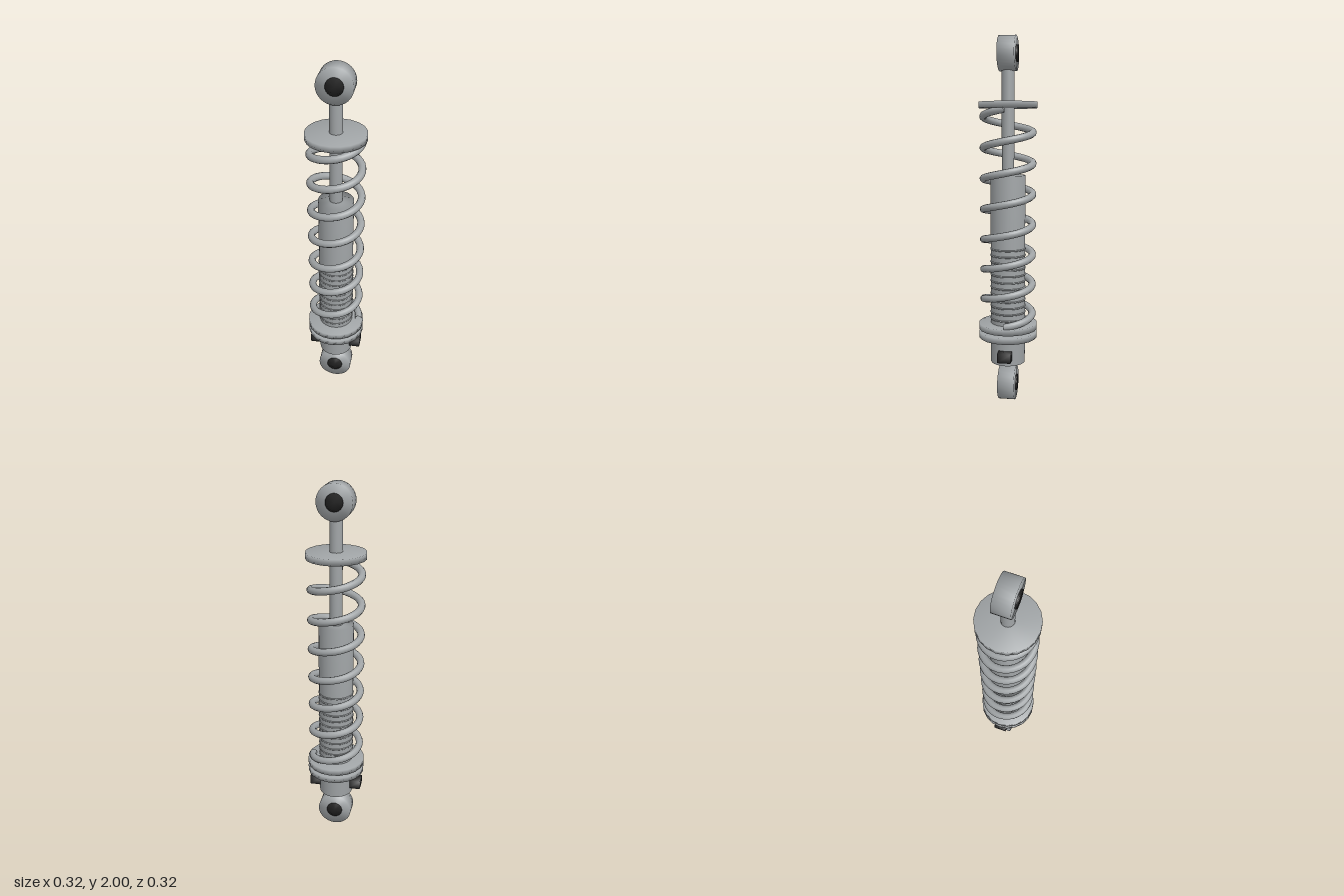
import * as THREE from 'three';
import { mergeVertices } from 'three/addons/utils/BufferGeometryUtils.js';

// Weld corners so that shading flows softly over the edges
function soften(geometry) {
  geometry.deleteAttribute('normal');
  geometry.deleteAttribute('uv');
  const welded = mergeVertices(geometry, 1e-4);
  welded.computeVertexNormals();
  return welded;
}

// Coil rising anticlockwise from the model's left side
class Coil extends THREE.Curve {
  constructor(radius, bottom, top, turns) {
    super();
    Object.assign(this, { radius, bottom, top, turns });
  }
  getPoint(t, target = new THREE.Vector3()) {
    const a = t * this.turns * Math.PI * 2;
    return target.set(
      this.radius * Math.cos(a),
      this.bottom + (this.top - this.bottom) * t,
      -this.radius * Math.sin(a)
    );
  }
}

export function createModel() {
  const metal = new THREE.MeshStandardMaterial({ name: 'grey metal', color: 0xa0a4a6 });
  const springMetal = new THREE.MeshStandardMaterial({ name: 'spring metal', color: 0xa0a4a6, side: THREE.DoubleSide });
  const rubber = new THREE.MeshStandardMaterial({ name: 'black rubber', color: 0x242424 });

  const model = new THREE.Group();
  model.name = 'shockAbsorber';

  function add(name, geometry, material, x = 0, y = 0, z = 0) {
    const mesh = new THREE.Mesh(geometry, material);
    mesh.name = name;
    mesh.position.set(x, y, z);
    model.add(mesh);
    return mesh;
  }

  // Upright cylinder between two heights
  function column(name, radius, bottom, top, sides) {
    const g = soften(new THREE.CylinderGeometry(radius, radius, top - bottom, sides));
    return add(name, g, metal, 0, (bottom + top) / 2);
  }

  // Mounting eyes with their bushings, facing the front
  function eye(name, y, radius) {
    const ring = new THREE.CylinderGeometry(radius, radius, 0.092, 32).rotateX(Math.PI / 2);
    add(name + 'Eye', soften(ring), metal, 0, y);
    const bush = new THREE.CylinderGeometry(0.045, 0.045, 0.106, 24).rotateX(Math.PI / 2);
    add(name + 'Bushing', soften(bush), rubber, 0, y);
  }
  eye('upper', 1.907, 0.093);
  eye('lower', 0.096, 0.096);

  // Piston rod and damper body
  column('pistonRod', 0.034, 1.24, 1.86, 20);
  column('damperBody', 0.095, 0.22, 1.265, 24);

  // Thread ridges on the body
  for (let i = 0; i < 12; i++) {
    const ridge = new THREE.TorusGeometry(0.0935, 0.005, 6, 24).rotateX(Math.PI / 2);
    add('threadRidge' + (i + 1), ridge, metal, 0, 0.472 + i * 0.0355);
  }

  // Spring seats and lock ring
  column('upperSpringSeat', 0.158, 1.622, 1.655, 20);
  column('lowerSpringSeat', 0.161, 0.412, 0.445, 20);
  column('lockRing', 0.161, 0.364, 0.396, 20);

  // Coil spring
  const coil = new Coil(0.134, 0.452, 1.615, 7);
  add('spring', new THREE.TubeGeometry(coil, 224, 0.02, 10, false), springMetal);

  // Adjuster knobs on both sides
  for (const side of [-1, 1]) {
    const knob = soften(new THREE.BoxGeometry(0.07, 0.05, 0.074));
    add(side > 0 ? 'leftAdjuster' : 'rightAdjuster', knob, rubber, side * 0.113, 0.28);
  }

  return model;
}
